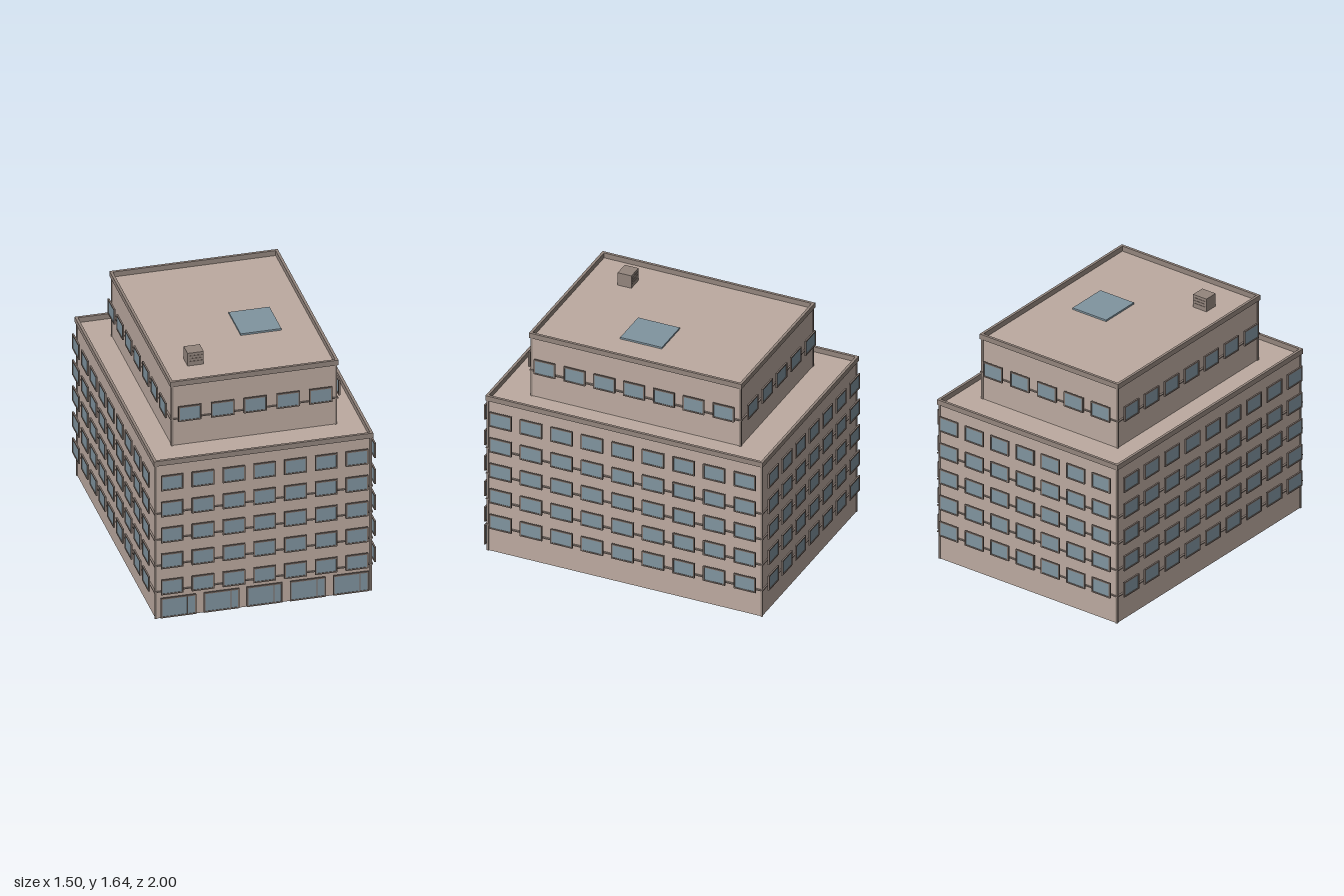
import * as THREE from 'three';

const mat = (color) => new THREE.MeshStandardMaterial({ color });
const wallMat = mat(0xbcaaa0);
const trimMat = mat(0x93857d);
const frameMat = mat(0x7d7069);
const glassMat = mat(0x80949f);

function box(name, w, h, d, x, y, z, material) {
  const mesh = new THREE.Mesh(new THREE.BoxGeometry(w, h, d), material);
  mesh.name = name;
  mesh.position.set(x, y, z);
  return mesh;
}

// Rectangular outline with a hole, extruded
function frameGeometry(w, h, border, depth) {
  const rect = (Target, a, b) => {
    const p = new Target();
    p.moveTo(-a, -b);
    p.lineTo(a, -b);
    p.lineTo(a, b);
    p.lineTo(-a, b);
    p.closePath();
    return p;
  };
  const shape = rect(THREE.Shape, w / 2, h / 2);
  shape.holes.push(rect(THREE.Path, w / 2 - border, h / 2 - border));
  return new THREE.ExtrudeGeometry(shape, { depth, bevelEnabled: false });
}

// Horizontal band running around a block, y is its underside
function band(name, halfX, halfZ, thickness, y, height) {
  const mesh = new THREE.Mesh(frameGeometry(halfX * 2, halfZ * 2, thickness, height), trimMat);
  mesh.name = name;
  mesh.rotation.x = -Math.PI / 2;
  mesh.position.y = y;
  return mesh;
}

// Glazed unit facing +z, standing just proud of the wall
function windowUnit(name, w, h) {
  const unit = new THREE.Group();
  unit.name = name;
  const frame = new THREE.Mesh(frameGeometry(w, h, 0.009, 0.011), frameMat);
  frame.name = 'windowFrame';
  unit.add(frame, box('windowGlass', w - 0.016, h - 0.016, 0.005, 0, 0, 0.005, glassMat));
  return unit;
}

// One facade: rows of evenly spaced windows
function facade(name, count, pitch, width, rows, offset, angle) {
  const side = new THREE.Group();
  side.name = name;
  for (const y of rows) {
    for (let i = 0; i < count; i++) {
      const unit = windowUnit('window', width, 0.108);
      unit.position.set((i - (count - 1) / 2) * pitch, y, offset);
      side.add(unit);
    }
  }
  side.rotation.y = angle;
  return side;
}

// A storey block with corner posts, parapet, sills and windows on four sides
function block(o) {
  const g = new THREE.Group();
  g.name = o.name;
  const height = o.deck - o.base;
  g.add(box('walls', o.hx * 2, height, o.hz * 2, 0, o.base + height / 2, 0, wallMat));
  for (const sx of [-1, 1]) {
    for (const sz of [-1, 1]) {
      g.add(box('cornerPost', 0.014, height, 0.014,
        sx * (o.hx - 0.001), o.base + height / 2, sz * (o.hz - 0.002), trimMat));
    }
  }
  g.add(band('parapet', o.hx + 0.013, o.hz + 0.011, 0.018, o.deck, 0.036));
  for (const y of o.sills) g.add(band('sillCourse', o.hx + 0.012, o.hz + 0.009, 0.02, y, 0.008));
  const [nx, px, wx] = o.front;
  const [nz, pz, wz] = o.side;
  g.add(
    facade('frontWindows', nx, px, wx, o.rows, o.winZ, 0),
    facade('backWindows', nx, px, wx, o.rows, o.winZ, Math.PI),
    facade('leftWindows', nz, pz, wz, o.rows, o.winX, Math.PI / 2),
    facade('rightWindows', nz, pz, wz, o.rows, o.winX, -Math.PI / 2),
  );
  return g;
}

export function createModel() {
  const model = new THREE.Group();
  model.name = 'officeBuilding';

  model.add(block({
    name: 'mainBlock', hx: 0.708, hz: 0.961, base: 0, deck: 1.114,
    sills: [0.191, 0.381, 0.571, 0.76], rows: [0.24, 0.43, 0.619, 0.808, 0.998],
    front: [7, 0.2025, 0.147], side: [9, 0.2139, 0.154], winX: 0.737, winZ: 0.989,
  }));
  model.add(block({
    name: 'upperBlock', hx: 0.54, hz: 0.734, base: 1.114, deck: 1.546,
    sills: [1.303], rows: [1.354],
    front: [5, 0.215, 0.152], side: [7, 0.209, 0.15], winX: 0.565, winZ: 0.761,
  }));

  // Ground floor shopfronts
  const shops = new THREE.Group();
  shops.name = 'shopfronts';
  for (let i = -2; i <= 2; i++) {
    const shop = windowUnit('shopfront', 0.234, 0.143);
    shop.add(box('doorPost', 0.006, 0.13, 0.009, 0.06, 0, 0.0055, frameMat));
    shop.position.set(i * 0.2835, 0.09, 0.989);
    shops.add(shop);
  }
  model.add(shops);

  // Rooftop skylight
  model.add(box('skylight', 0.268, 0.012, 0.292, 0.186, 1.552, 0.068, glassMat));

  // Rooftop ventilation unit with louvres
  const vent = new THREE.Group();
  vent.name = 'ventUnit';
  vent.add(box('ventBody', 0.106, 0.092, 0.096, 0, 0.046, 0, trimMat));
  for (const y of [0.03, 0.05, 0.07]) {
    vent.add(box('ventLouvre', 0.086, 0.006, 0.1, 0, y, 0, frameMat));
  }
  vent.position.set(-0.323, 1.546, 0.46);
  model.add(vent);

  return model;
}
